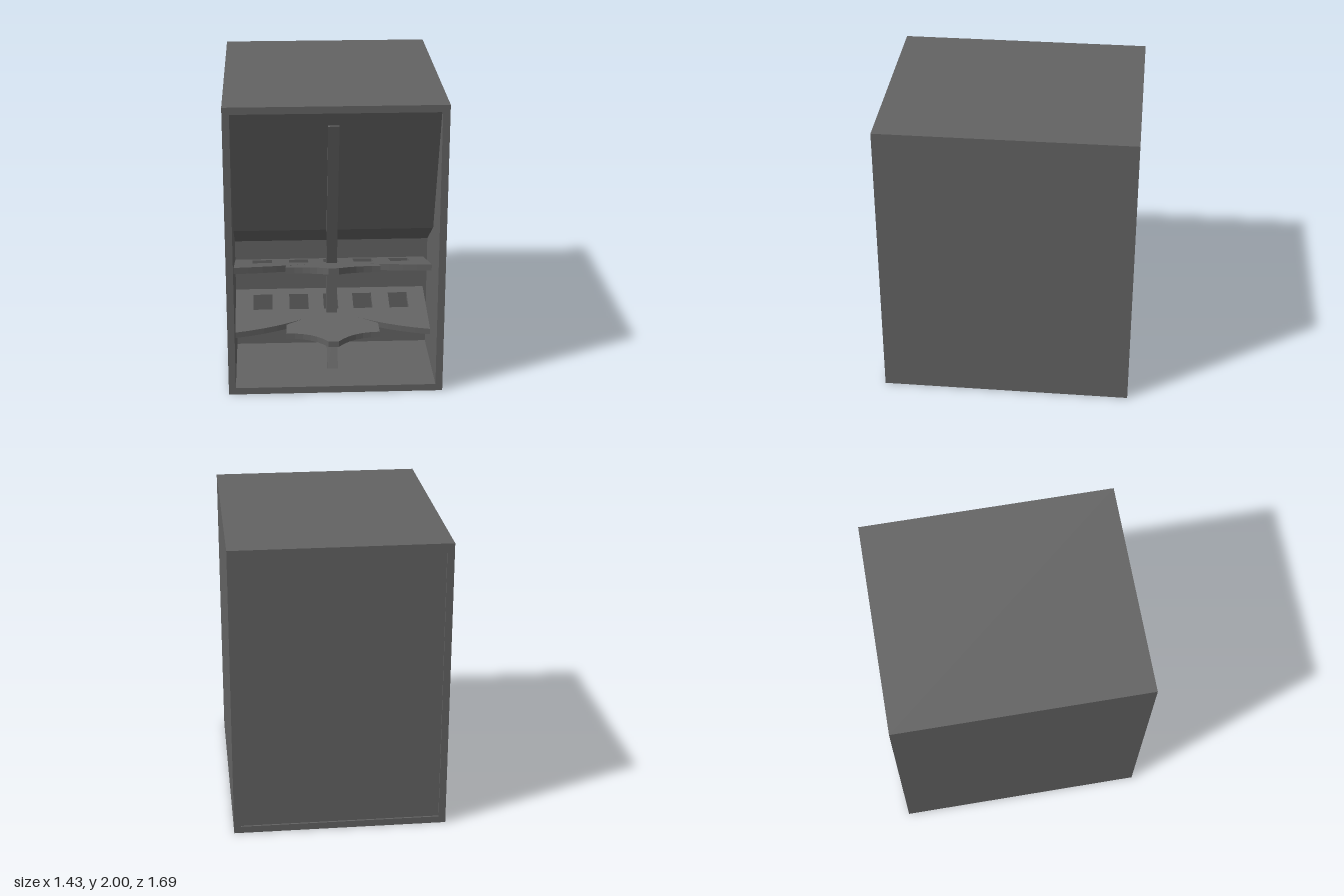
import * as THREE from 'three';

export function createModel() {
  const model = new THREE.Group();
  const grey = new THREE.MeshStandardMaterial({ color: 0x636363 });
  grey.name = 'dark grey';
  const W = 0.717, T = 0.047, D = 0.847, MID = -0.0125;

  const add = (name, geometry, x = 0, y = 0, z = 0) => {
    const mesh = new THREE.Mesh(geometry, grey);
    mesh.name = name;
    mesh.position.set(x, y, z);
    model.add(mesh);
    return mesh;
  };

  // Board of a given width running between two [z, y] points
  const board = (name, width, thick, [z1, y1], [z2, y2], x = 0) => {
    const length = Math.hypot(z2 - z1, y2 - y1);
    const mesh = add(name, new THREE.BoxGeometry(width, length, thick), x, (y1 + y2) / 2, (z1 + z2) / 2);
    mesh.rotation.x = Math.atan2(z2 - z1, y2 - y1);
    return mesh;
  };

  const rectPath = (path, x0, y0, x1, y1) => {
    path.moveTo(x0, y0);
    path.lineTo(x1, y0);
    path.lineTo(x1, y1);
    path.lineTo(x0, y1);
    path.closePath();
    return path;
  };

  // Cabinet shell, open at the front
  const frame = rectPath(new THREE.Shape(), -W, 0, W, 2);
  frame.holes.push(rectPath(new THREE.Path(), -W + T, T, W - T, 2 - T));
  const shell = new THREE.ExtrudeGeometry(frame, { depth: 2 * D, bevelEnabled: false });
  add('cabinetShell', shell, 0, 0, -D);

  // Slightly recessed back panel and the inner wall
  const inner = 2 * (W - T);
  add('backPanel', new THREE.BoxGeometry(inner, 2 - 2 * T, 0.03), 0, 1, -D + 0.027);
  add('innerWall', new THREE.BoxGeometry(inner, 0.84, 0.03), 0, T + 0.42, 0.155);

  // Sloping panels above the shelves
  board('upperPanel', inner, 0.03, [0.475, 1.04], [0.795, 1.953]);
  board('throatPanel', inner, 0.03, [0.16, 0.845], [0.482, 1.052]);

  // Winged, slotted shelf: outline in x and z, then tilted by shearing
  const shelf = (name, y, slope, thick) => {
    const s = new THREE.Shape();
    s.moveTo(-0.657, 0.165);
    s.lineTo(0.657, 0.165);
    s.lineTo(0.657, 0.68);
    s.quadraticCurveTo(0.36, 0.63, 0.12, 0.5);
    s.quadraticCurveTo(0.24, 0.56, 0.31, 0.6);
    s.lineTo(0.315, 0.7);
    s.quadraticCurveTo(0.13, 0.7, 0.035, 0.8);
    s.lineTo(-0.035, 0.8);
    s.quadraticCurveTo(-0.13, 0.7, -0.315, 0.7);
    s.lineTo(-0.31, 0.6);
    s.quadraticCurveTo(-0.24, 0.56, -0.12, 0.5);
    s.quadraticCurveTo(-0.36, 0.63, -0.657, 0.68);
    s.closePath();
    for (const x of [-0.47, -0.22, 0, 0.22, 0.47]) {
      const half = x === 0 ? 0.05 : 0.066;
      s.holes.push(rectPath(new THREE.Path(), x - half, 0.24, x + half, 0.42));
    }
    const g = new THREE.ExtrudeGeometry(s, { depth: thick, bevelEnabled: false, curveSegments: 6 });
    g.rotateX(Math.PI / 2);
    const p = g.attributes.position;
    for (let i = 0; i < p.count; i++) p.setY(i, p.getY(i) + slope * p.getZ(i));
    g.computeVertexNormals();
    add(name, g, MID, y, 0);
  };
  shelf('upperWingedShelf', 0.645, 0.3, 0.045);
  shelf('lowerWingedShelf', 0.5, -0.18, 0.04);

  // Central brace in three runs
  board('upperBrace', 0.072, 0.04, [0.455, 0.77], [0.77, 1.855], MID);
  board('middleBrace', 0.072, 0.04, [0.45, 0.4], [0.45, 0.77], MID);
  board('lowerBrace', 0.072, 0.04, [0.62, 0.065], [0.455, 0.4], MID);

  return model;
}
